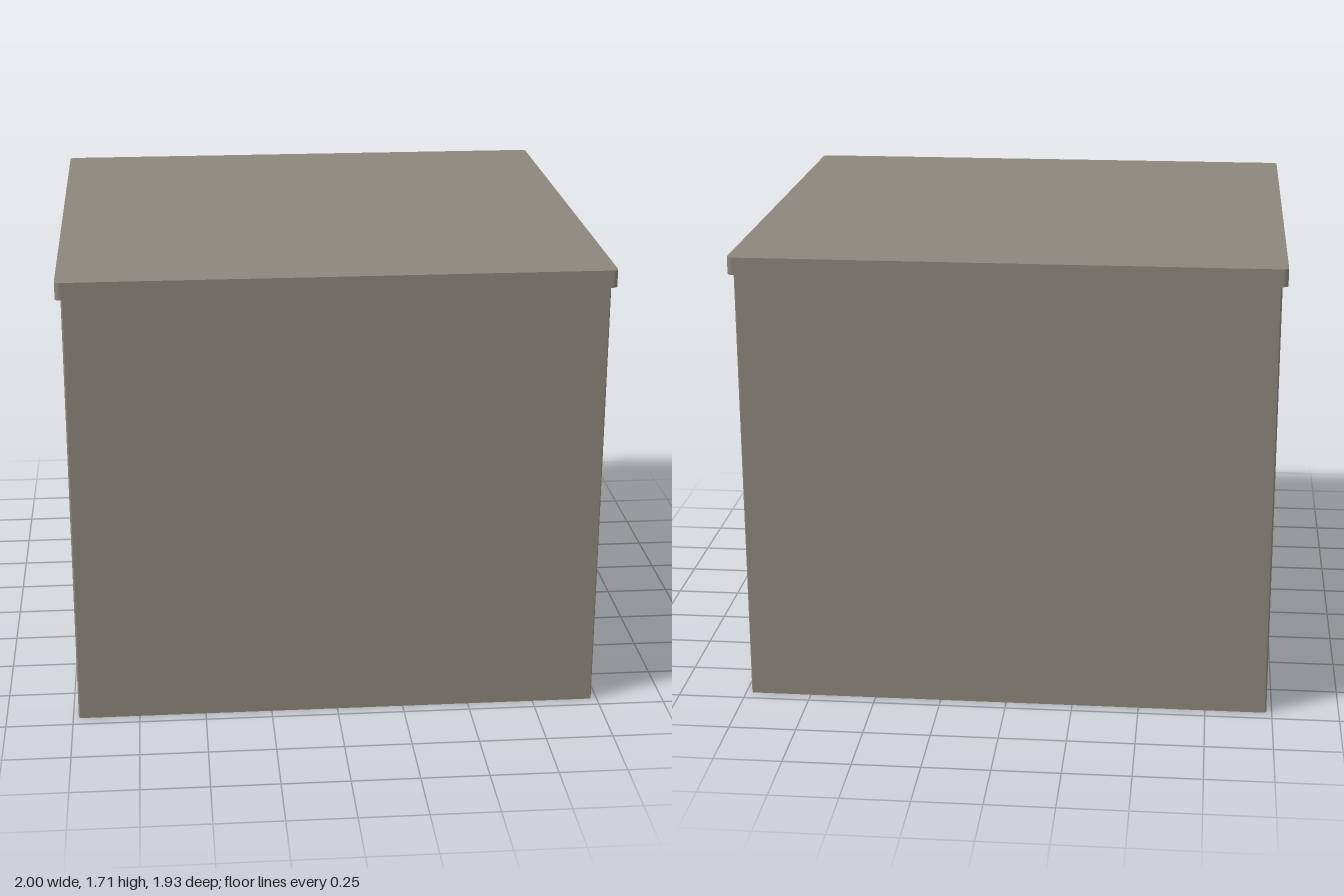
import * as THREE from 'three';

const W = 0.98, D = 0.953;    // half width and half depth of the shell
const T = 0.08;               // panel thickness
const WALL_TOP = 1.648, TOP = 1.712;

// Extrudes a plan outline upwards from y0 to y1
function extrudeUp(shape, y0, y1) {
  const g = new THREE.ExtrudeGeometry(shape, { depth: y1 - y0, bevelEnabled: false, curveSegments: 3 });
  g.rotateX(-Math.PI / 2);
  g.translate(0, y0, 0);
  return g;
}

// Rectangle with rounded corners, given half sizes and radius
function roundedRect(w, d, r) {
  const s = new THREE.Shape();
  s.absarc(w - r, d - r, r, 0, Math.PI / 2);
  s.absarc(-w + r, d - r, r, Math.PI / 2, Math.PI);
  s.absarc(-w + r, -d + r, r, Math.PI, Math.PI * 1.5);
  s.absarc(w - r, -d + r, r, Math.PI * 1.5, Math.PI * 2);
  s.closePath();
  return s;
}

export function createModel() {
  const group = new THREE.Group();
  group.name = 'openSidedTable';
  const taupe = new THREE.MeshStandardMaterial({ color: 0x8c877b });
  taupe.name = 'taupe';

  const add = (name, geometry) => {
    const mesh = new THREE.Mesh(geometry, taupe);
    mesh.name = name;
    group.add(mesh);
  };

  // Three walls in a U, open towards -x, with slightly eased outer corners
  const cx = 0.006, cz = 0.013;
  const plan = new THREE.Shape([
    [-W, -D + cz], [-W + cx, -D], [W - cx, -D], [W, -D + cz],
    [W, D - cz], [W - cx, D], [-W + cx, D], [-W, D - cz],
    [-W, D - T], [W - T, D - T], [W - T, -D + T], [-W, -D + T],
  ].map(([x, z]) => new THREE.Vector2(x, z)));
  add('walls', extrudeUp(plan, 0, WALL_TOP));

  // Panel closing the top between the walls
  const ceiling = new THREE.BoxGeometry(2 * W - T, T, 2 * (D - T));
  ceiling.translate(-T / 2, WALL_TOP - T / 2, 0);
  add('ceilingPanel', ceiling);

  // Overhanging top slab
  add('topSlab', extrudeUp(roundedRect(1, 0.966, 0.02), WALL_TOP, TOP));

  return group;
}
